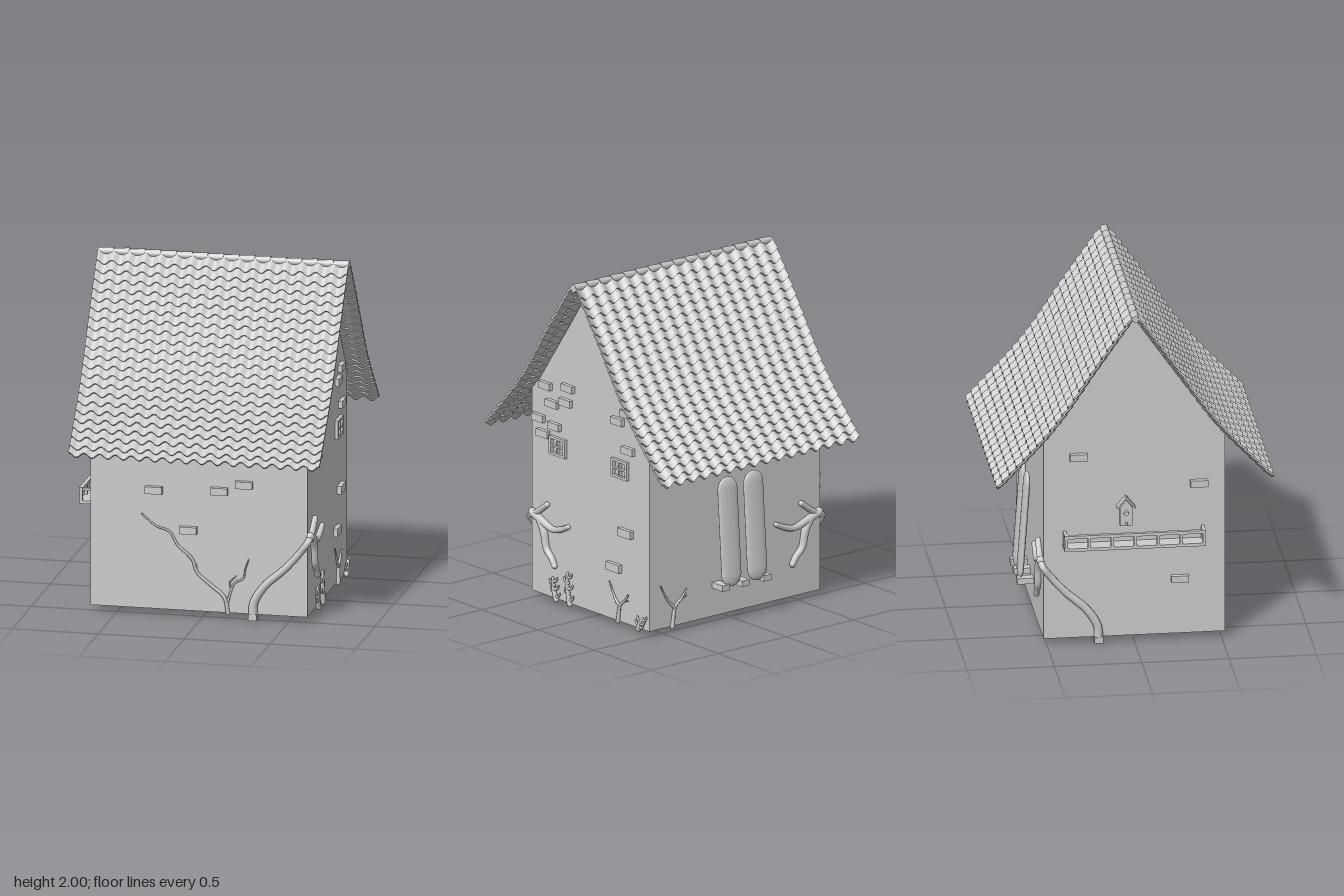
import * as THREE from 'three';
import { toCreasedNormals } from 'three/addons/utils/BufferGeometryUtils.js';

const stone = new THREE.MeshStandardMaterial({ color: 0xcccccc });
stone.name = 'plain grey';
const V = (x, y, z) => new THREE.Vector3(x, y, z);

// wall planes
const RIGHT = 0.61, LEFT = -0.65, FRONT = 0.52, BACK = -0.52;

export function createModel() {
  const house = new THREE.Group();
  house.name = 'house';

  const add = (name, geo, parent = house) => {
    const m = new THREE.Mesh(geo, stone);
    m.name = name;
    parent.add(m);
    return m;
  };
  const box = (name, w, h, d, x, y, z) => {
    const m = add(name, new THREE.BoxGeometry(w, h, d));
    m.position.set(x, y, z);
    return m;
  };

  // tapered tube along a smooth path
  const branch = (name, pts, r0, r1, seg = pts.length * 5, sides = 8) => {
    const path = new THREE.CatmullRomCurve3(pts);
    const geo = new THREE.TubeGeometry(path, seg, 1, sides);
    const p = geo.attributes.position, v = V(0, 0, 0);
    for (let i = 0; i <= seg; i++) {
      const c = path.getPointAt(i / seg);
      const r = r0 + (r1 - r0) * (i / seg);
      for (let j = 0; j <= sides; j++) {
        const k = i * (sides + 1) + j;
        v.fromBufferAttribute(p, k).sub(c).multiplyScalar(r).add(c);
        p.setXYZ(k, v.x, v.y, v.z);
      }
    }
    add(name, geo);
    for (const [q, r] of [[pts[0], r0], [pts[pts.length - 1], r1]]) {
      add(name + 'End', new THREE.SphereGeometry(r, 8, 6)).position.copy(q);
    }
  };

  // gabled body
  const half = [[0.52, 0.03], [0.52, 1.24], [0.45, 1.31], [0.2, 1.665]];
  const outline = [...half, [0, 1.955], ...half.map(([z, y]) => [-z, y]).reverse()];
  const bodyGeo = new THREE.ExtrudeGeometry(
    new THREE.Shape(outline.map(([z, y]) => new THREE.Vector2(z, y))),
    { depth: RIGHT - LEFT, bevelEnabled: false });
  bodyGeo.rotateY(Math.PI / 2).translate(LEFT, 0, 0);
  add('walls', bodyGeo);

  // roof: overlapping rows of wavy tiles on a flared slope
  const slope = new THREE.CatmullRomCurve3(
    [V(0, 1.975, 0.005), V(0, 1.69, 0.205), V(0, 1.325, 0.455), V(0, 0.975, 0.775)]);
  const ROWS = 22, COLS = 16, STEPS = 8, WIDTH = 1.46;
  const tileRow = (row) => {
    const t0 = row / ROWS, t1 = Math.min(1, (row + 1.2) / ROWS);
    const a = slope.getPointAt(t0), b = slope.getPointAt(t1);
    const down = b.clone().sub(a).normalize();
    const out = V(0, down.z, -down.y);
    const pos = [], idx = [], n = COLS * STEPS;
    for (let i = 0; i <= n; i++) {
      const wave = Math.cos((i / STEPS) * Math.PI * 2);
      const x = -WIDTH / 2 + (WIDTH * i) / n;
      const corner = (p, lift, drop) => {
        const q = p.clone().addScaledVector(out, lift + wave * 0.009).addScaledVector(down, drop);
        pos.push(x, q.y, q.z);
      };
      const lip = 0.006 + wave * -0.01;
      corner(a, 0.006, 0);
      corner(b, 0.02, lip);
      corner(b, 0.006, lip);
      corner(a, -0.004, 0);
      if (i === n) continue;
      for (let k = 0; k < 4; k++) {
        const p = i * 4 + k, q = i * 4 + ((k + 1) % 4);
        idx.push(p, q, p + 4, q, q + 4, p + 4);
      }
    }
    const e = n * 4;
    idx.push(0, 2, 1, 0, 3, 2, e, e + 1, e + 2, e, e + 2, e + 3);
    const geo = new THREE.BufferGeometry();
    geo.setAttribute('position', new THREE.Float32BufferAttribute(pos, 3));
    geo.setIndex(idx);
    geo.computeVertexNormals();
    return toCreasedNormals(geo, 0.7);
  };
  const roof = new THREE.Group();
  roof.name = 'roof';
  roof.position.x = 0.01;
  house.add(roof);
  for (let r = 0; r < ROWS; r++) {
    const geo = tileRow(r);
    add('frontTileRow', geo, roof);
    add('backTileRow', geo, roof).rotation.y = Math.PI;
  }
  // ridge caps
  for (let c = 0; c < COLS; c++) {
    const cap = add('ridgeCap', new THREE.CylinderGeometry(0.019, 0.025, WIDTH / COLS, 10), roof);
    cap.rotation.z = Math.PI / 2;
    cap.position.set(-WIDTH / 2 + ((c + 0.5) * WIDTH) / COLS, 1.974, 0);
  }

  // protruding bricks on each wall
  for (const [x, y] of [[-0.28, 0.73], [0.1, 0.745], [0.245, 0.79], [-0.08, 0.505], [0.14, 0.955]])
    box('frontBrick', 0.1, 0.042, 0.06, x, y, FRONT);
  for (const [z, y] of [[0.39, 1.28], [0.19, 1.31], [0.33, 1.185], [0.21, 1.22], [0.45, 1.075],
    [0.31, 1.055], [0.41, 0.99], [-0.25, 1.22], [-0.33, 1.28], [-0.345, 1.065]])
    box('rightBrick', 0.05, 0.042, 0.098, RIGHT, y, z);
  for (const [z, y] of [[-0.32, 0.57], [-0.22, 0.345]]) box('rightBrick', 0.05, 0.048, 0.115, RIGHT, y, z);
  for (const [z, y] of [[-0.32, 1.13], [0.37, 0.94], [0.26, 0.365]])
    box('leftBrick', 0.06, 0.04, 0.1, LEFT, y, z);

  // four-pane windows on the right wall
  for (const z of [0.28, -0.27]) {
    const pane = (w, h, u, v) => {
      const s = new THREE.Path();
      s.moveTo(u, v).lineTo(u + w, v).lineTo(u + w, v + h).lineTo(u, v + h).closePath();
      return s;
    };
    const frame = new THREE.Shape(pane(0.14, 0.11, -0.07, -0.055).getPoints());
    for (const u of [-0.052, 0.006]) for (const v of [-0.04, 0.005]) frame.holes.push(pane(0.046, 0.035, u, v));
    const geo = new THREE.ExtrudeGeometry(frame, { depth: 0.02, bevelEnabled: false });
    geo.rotateY(Math.PI / 2);
    add('windowFrame', geo).position.set(RIGHT, 0.94, z);
  }

  // thick roots that climb one wall and fork round the corner;
  // at(u, y, n): u = distance from the corner, negative past it
  const root = (at) => {
    branch('rootTrunk', [at(0.325, 0.02), at(0.32, 0.1), at(0.26, 0.2), at(0.14, 0.31), at(0.06, 0.4),
      at(0.005, 0.475), at(-0.07, 0.51), at(-0.16, 0.575)], 0.026, 0.017, 40, 10);
    branch('rootFork', [at(-0.03, 0.5), at(-0.11, 0.47), at(-0.21, 0.44), at(-0.28, 0.455), at(-0.345, 0.485)],
      0.026, 0.015);
    branch('rootHook', [at(-0.1, 0.47), at(-0.13, 0.41), at(-0.155, 0.31), at(-0.2, 0.265), at(-0.225, 0.225)],
      0.026, 0.018);
    const foot = at(0.325, 0.018);
    box('rootFoot', 0.05, 0.036, 0.05, foot.x, foot.y, foot.z);
  };
  const N = 0.012;
  root((u, y) => (u >= 0 ? V(RIGHT - u + N, y, FRONT + N) : V(RIGHT + N, y, FRONT + u + N)));
  root((u, y) => (u >= 0 ? V(LEFT - N, y, BACK + u - N) : V(LEFT - u - N, y, BACK - N)));

  // thin creeper on the front wall
  const f = (x, y) => V(x, y, FRONT + 0.006);
  branch('creeperStem', [f(0.15, 0.03), f(0.13, 0.12), f(0.05, 0.19), f(-0.03, 0.26), f(-0.06, 0.34),
    f(-0.14, 0.41), f(-0.19, 0.49), f(-0.27, 0.52), f(-0.35, 0.585)], 0.012, 0.005, 45, 6);
  branch('creeperTwig', [f(0.14, 0.06), f(0.17, 0.17), f(0.19, 0.21), f(0.24, 0.24), f(0.25, 0.29), f(0.27, 0.35)],
    0.008, 0.004);
  branch('creeperTwig', [f(0.17, 0.17), f(0.16, 0.21), f(0.2, 0.25)], 0.006, 0.003);
  branch('creeperTwig', [f(-0.08, 0.35), f(-0.04, 0.31), f(-0.03, 0.27)], 0.006, 0.004);

  // forked saplings on the right and back walls
  const sapling = (at, s) => {
    branch('saplingStem', [at(0, 0.03), at(-0.02 * s, 0.13 * s), at(-0.06 * s, 0.165 * s), at(-0.09 * s, 0.205 * s)],
      0.013, 0.005);
    branch('saplingFork', [at(-0.015 * s, 0.12 * s), at(0.03 * s, 0.17 * s), at(0.075 * s, 0.25 * s)], 0.009, 0.004);
    branch('saplingTwig', [at(-0.06 * s, 0.165 * s), at(-0.09 * s, 0.17 * s)], 0.006, 0.004);
  };
  sapling((u, y) => V(RIGHT + 0.008, y, -0.25 + u), 1);
  sapling((u, y) => V(0.45 + u, y, BACK - 0.012), 1.15);

  // stubby shrubs on the right wall
  for (const [z, h, lean] of [[0.29, 0.12, 0.03], [0.17, 0.18, 0.02], [-0.44, 0.07, -0.04]]) {
    const at = (t, du = 0, dy = 0) => V(RIGHT + 0.015, 0.03 + t * h + dy, z + lean * t + du);
    branch('shrubStem', [at(0), at(0.5, 0.008), at(1)], 0.016, 0.009);
    for (let i = 0; i < 5; i++) {
      const t = 0.15 + i * 0.18, s = i % 2 ? 1 : -1;
      branch('shrubLeaf', [at(t), at(t, s * 0.025, 0.005), at(t, s * 0.036, 0.024)], 0.01, 0.006, 6, 6);
    }
  }

  // long rounded boards leaning on the back wall, resting on pegs
  for (const x of [0.06, -0.13]) {
    const board = add('leaningBoard', new THREE.CapsuleGeometry(0.072, 0.5, 8, 20));
    board.scale.z = 0.26;
    board.position.set(x, 0.53, -0.57);
    board.rotation.x = 0.07;
  }
  for (const x of [0.12, -0.025, -0.185]) box('boardPeg', 0.055, 0.035, 0.1, x, 0.215, BACK - 0.045);

  // railed shelf on the left wall
  box('shelfFloor', 0.095, 0.018, 0.81, -0.6975, 0.597, -0.005);
  box('shelfRail', 0.022, 0.018, 0.81, -0.734, 0.673, -0.005);
  for (let i = 0; i < 7; i++) box('shelfPost', 0.016, 0.08, 0.016, -0.734, 0.635, -0.4 + i * 0.1317);
  for (const z of [-0.4, 0.39]) {
    box('shelfEndRail', 0.09, 0.016, 0.018, -0.695, 0.673, z);
    box('shelfWallPost', 0.016, 0.08, 0.018, -0.662, 0.635, z);
  }

  // small birdhouse on the left wall
  const hut = new THREE.Shape([[-0.035, 0.71], [0.035, 0.71], [0.035, 0.82], [0, 0.865], [-0.035, 0.82]]
    .map(([z, y]) => new THREE.Vector2(z, y)));
  const hole = new THREE.Path();
  hole.absarc(0, 0.785, 0.014, 0, Math.PI * 2, true);
  hut.holes.push(hole);
  const hutGeo = new THREE.ExtrudeGeometry(hut, { depth: 0.035, bevelEnabled: false });
  hutGeo.rotateY(-Math.PI / 2);
  add('birdhouse', hutGeo).position.set(LEFT, 0, -0.05);
  for (const s of [-1, 1])
    box('birdhouseRoof', 0.045, 0.01, 0.08, LEFT - 0.0225, 0.848, -0.05 + s * 0.025).rotation.x = s * 0.9;
  const perch = add('birdhousePerch', new THREE.CylinderGeometry(0.006, 0.006, 0.075, 8));
  perch.rotation.z = Math.PI / 2;
  perch.position.set(LEFT - 0.036, 0.728, -0.05);

  return house;
}
